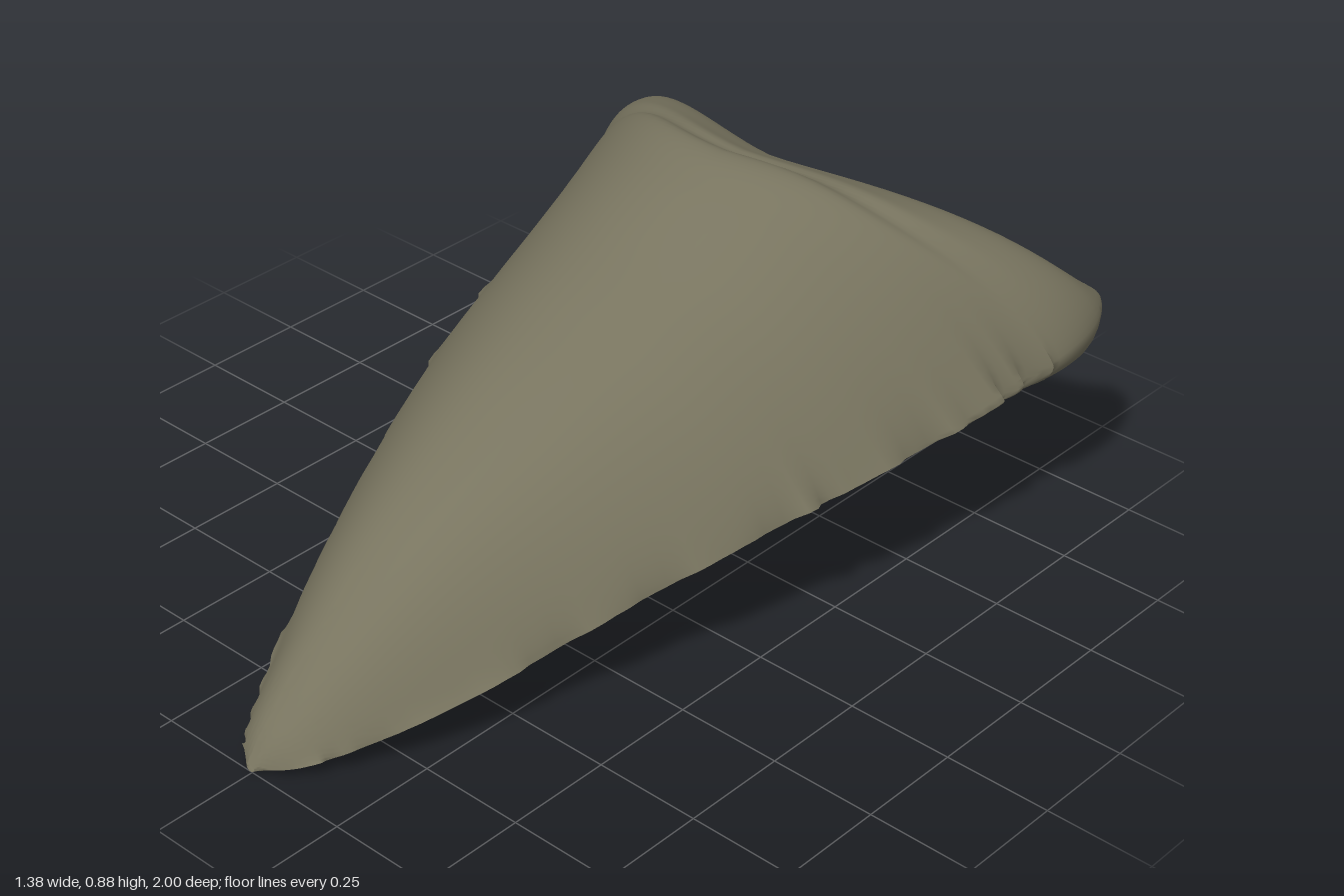
import * as THREE from 'three';
import { toCreasedNormals } from 'three/addons/utils/BufferGeometryUtils.js';

// Guide rows from the root's back edge to the tip:
// [edge half width, edge y, edge z, centre top y, centre bottom y, centre z, root weight]
const ROWS = [
  [0.58, 0.53, -1.0, 0.54, 0.54, -0.74, 1],
  [0.635, 0.52, -0.985, 0.63, 0.465, -0.715, 1],
  [0.68, 0.505, -0.91, 0.775, 0.445, -0.62, 0.9],
  [0.69, 0.49, -0.8, 0.84, 0.43, -0.52, 0.7],
  [0.65, 0.45, -0.66, 0.885, 0.42, -0.41, 0.4],
  [0.62, 0.415, -0.48, 0.85, 0.4, -0.29, 0.1],
  [0.555, 0.37, -0.2, 0.76, 0.36, -0.12, 0],
  [0.49, 0.325, 0.03, 0.68, 0.315, 0.06, 0],
  [0.39, 0.25, 0.31, 0.565, 0.235, 0.31, 0],
  [0.275, 0.15, 0.6, 0.4, 0.13, 0.6, 0],
  [0.175, 0.08, 0.8, 0.24, 0.06, 0.8, 0],
  [0.09, 0.035, 0.94, 0.1, 0.02, 0.94, 0],
  [0.012, 0.012, 1.0, 0.02, 0.004, 1.0, 0],
];
const STEPS = (ROWS.length - 1) * 10;
const COLS = 48;

const curveOf = (pick) =>
  new THREE.CatmullRomCurve3(ROWS.map((r) => new THREE.Vector3(...pick(r))), false, 'catmullrom', 0.5);
const edgeCurve = curveOf((r) => [r[0], r[1], r[2]]);
const middleCurve = curveOf((r) => [r[3], r[4], r[5]]);
const weightCurve = curveOf((r) => [r[6], 0, 0]);

const hash = (n) => {
  const v = Math.sin(n * 127.1 + 11.7) * 43758.5453;
  return v - Math.floor(v);
};

// One point of the upper or lower face; row 0 is the root, s runs from -1 to 1 across
function facePoint(row, s, upper) {
  const t = row / STEPS;
  const v = t * (ROWS.length - 1);
  const edge = edgeCurve.getPoint(t);
  const middle = middleCurve.getPoint(t);
  const w = THREE.MathUtils.clamp(weightCurve.getPoint(t).x, 0, 1);
  const a = Math.abs(s);

  const arch = Math.pow(1 - Math.pow(a, 2.3 + 0.5 * w), 1 - 0.4 * w);
  // the crown leans slightly to its left
  let x = edge.x * s + 0.022 * (1 - w) * Math.min(1, (1 - t) * 6);
  let y = edge.y + ((upper ? middle.x : middle.y) - edge.y) * arch;
  const z = middle.z + (edge.z - middle.z) * Math.pow(a, 1.5);

  // swollen undersides of the root lobes
  const open = Math.min(1, v / 2);
  if (!upper) y -= 0.15 * w * open * Math.pow(a, 4) * Math.sqrt(1 - Math.pow(a, 8));

  // shallow groove where root and crown meet
  if (upper) {
    const d = (v - 3.6 + 0.1 * Math.sin(9 * s)) / 0.2;
    y -= 0.014 * Math.exp(-d * d) * (1 - Math.pow(a, 6));
  }

  // worn serrations along the crown's cutting edges
  if (v > 3.4 && v < 11.5) {
    const rim = Math.pow(a, 20);
    const n = hash(Math.floor(row / 2) + (s > 0 ? 500 : 0)) - 0.5;
    const size = 0.012 + 0.03 * edge.x;
    x += Math.sign(s) * n * size * rim;
    y += n * 0.6 * size * rim;
  }
  return [x, y, z];
}

function toothGeometry() {
  const positions = [];
  const index = [];
  for (const upper of [true, false]) {
    const base = positions.length / 3;
    for (let i = 0; i <= STEPS; i++) {
      for (let j = 0; j <= COLS; j++) {
        const s = j === 0 ? -1 : j === COLS ? 1 : Math.sin((j / COLS - 0.5) * Math.PI);
        positions.push(...facePoint(i, s, upper));
      }
    }
    for (let i = 0; i < STEPS; i++) {
      for (let j = 0; j < COLS; j++) {
        const p = base + i * (COLS + 1) + j;
        const q = p + COLS + 1;
        if (upper) index.push(p, q, p + 1, q, q + 1, p + 1);
        else index.push(p, p + 1, q, q, p + 1, q + 1);
      }
    }
  }
  const geometry = new THREE.BufferGeometry();
  geometry.setAttribute('position', new THREE.Float32BufferAttribute(positions, 3));
  geometry.setIndex(index);
  return toCreasedNormals(geometry, Math.PI / 3);
}

export function createModel() {
  const fossil = new THREE.MeshStandardMaterial({ color: 0x78745f, side: THREE.DoubleSide });
  fossil.name = 'fossil grey brown';

  const tooth = new THREE.Mesh(toothGeometry(), fossil);
  tooth.name = 'fossilTooth';

  const group = new THREE.Group();
  group.name = 'sharkTooth';
  group.add(tooth);

  // stand on the ground, centred
  const box = new THREE.Box3().setFromObject(group);
  const c = box.getCenter(new THREE.Vector3());
  tooth.position.set(-c.x, -box.min.y, -c.z);
  return group;
}
